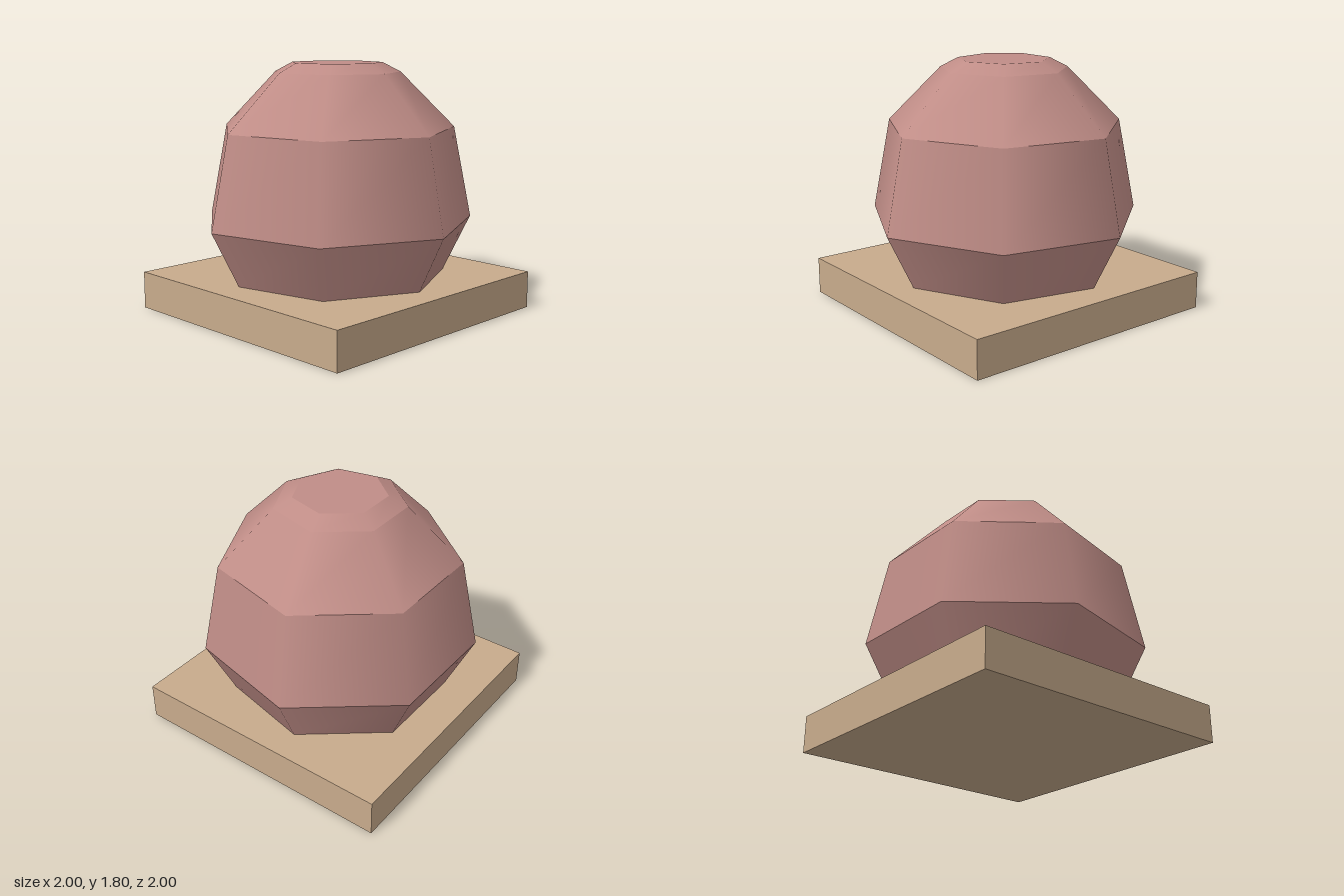
import * as THREE from 'three';

export function createModel() {
  const model = new THREE.Group();

  const tan = new THREE.MeshStandardMaterial({ color: 0xc8ab8c });
  tan.name = 'tan';
  const rose = new THREE.MeshStandardMaterial({ color: 0xc08d87 });
  rose.name = 'dusty rose';

  // Square slab the dome stands on
  const baseHeight = 0.27;
  const base = new THREE.Mesh(new THREE.BoxGeometry(2, baseHeight, 2), tan);
  base.name = 'base';
  base.position.y = baseHeight / 2;
  model.add(base);

  // Seven-sided dome: stacked frustums, smooth around, creased between bands
  const dome = new THREE.Group();
  dome.name = 'dome';
  const rings = [ // [radius, y]
    [0.8, baseHeight], [1, 0.67], [0.866, 1.335], [0.466, 1.735], [0.333, 1.803],
  ];
  const names = ['lowerBand', 'middleBand', 'shoulderBand', 'crownBand'];
  names.forEach((name, i) => {
    const [r0, y0] = rings[i];
    const [r1, y1] = rings[i + 1];
    // A corner points along +x
    const band = new THREE.Mesh(
      new THREE.CylinderGeometry(r1, r0, y1 - y0, 7, 1, true, Math.PI / 2), rose);
    band.name = name;
    band.position.y = (y0 + y1) / 2;
    dome.add(band);
  });

  // Flat top
  const [topRadius, topY] = rings[rings.length - 1];
  const top = new THREE.Mesh(new THREE.CircleGeometry(topRadius, 7), rose);
  top.name = 'top';
  top.rotation.x = -Math.PI / 2;
  top.position.y = topY;
  dome.add(top);

  model.add(dome);
  return model;
}
